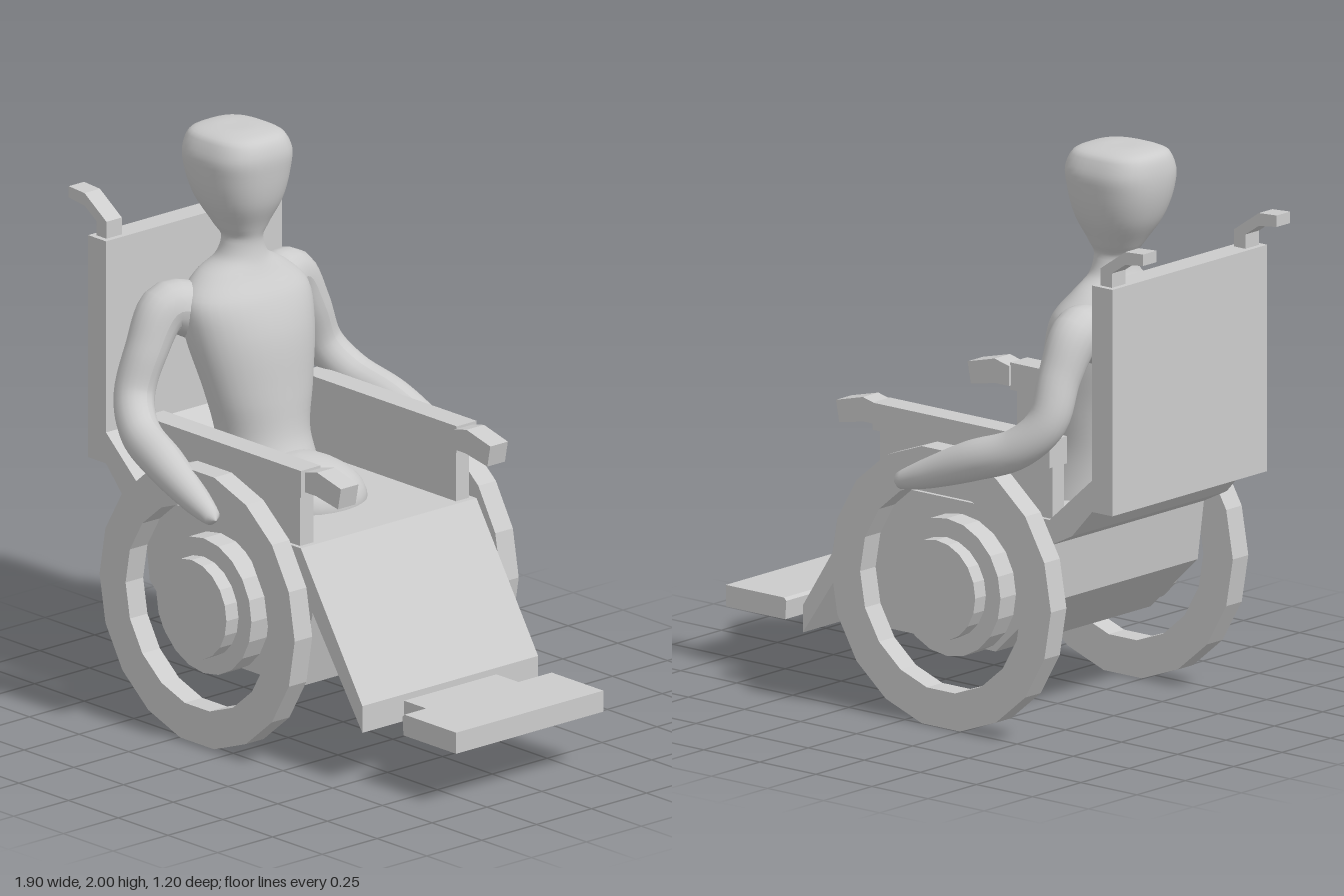
import * as THREE from 'three';

const MID = 0.01; // z of the plane of symmetry
const flat = new THREE.MeshStandardMaterial({ color: 0xcccccc, flatShading: true });
const smooth = new THREE.MeshStandardMaterial({ color: 0xcccccc });

function add(group, name, geometry, material = flat) {
  const mesh = new THREE.Mesh(geometry, material);
  mesh.name = name;
  group.add(mesh);
  return mesh;
}

// Side profile in x/y, extruded from z0 to z1
function slab(points, z0, z1, holes = []) {
  const shape = new THREE.Shape(points.map(([x, y]) => new THREE.Vector2(x, y)));
  for (const h of holes) shape.holes.push(new THREE.Path(h.map(([x, y]) => new THREE.Vector2(x, y))));
  return new THREE.ExtrudeGeometry(shape, { depth: z1 - z0, bevelEnabled: false }).translate(0, 0, z0);
}

const rect = (x0, x1, y0, y1) => [[x0, y0], [x1, y0], [x1, y1], [x0, y1]];

function ring(r, n, cx, cy) {
  return Array.from({ length: n }, (_, i) => {
    const a = (i / n) * Math.PI * 2;
    return [cx + r * Math.cos(a), cy + r * Math.sin(a)];
  });
}

// Stack of rounded-square rings: [y, centre x, x radius, z radius, squareness]
function bodyLoft(sections, steps = 72, sides = 36) {
  const a = new THREE.CatmullRomCurve3(sections.map(s => new THREE.Vector3(s[0], s[1], s[2])));
  const b = new THREE.CatmullRomCurve3(sections.map(s => new THREE.Vector3(s[0], s[3], s[4])));
  const pos = [], index = [];
  for (let i = 0; i <= steps; i++) {
    const p = a.getPoint(i / steps), q = b.getPoint(i / steps);
    for (let j = 0; j < sides; j++) {
      const t = (j / sides) * Math.PI * 2, c = Math.cos(t), s = Math.sin(t);
      const k = Math.pow(Math.abs(c) ** q.z + Math.abs(s) ** q.z, -1 / q.z);
      pos.push(p.y + c * k * Math.max(p.z, 0), p.x, s * k * Math.max(q.y, 0));
      if (i < steps) {
        const m = i * sides + j, n = i * sides + (j + 1) % sides;
        index.push(m, m + sides, n, n, m + sides, n + sides);
      }
    }
  }
  const g = new THREE.BufferGeometry();
  g.setAttribute('position', new THREE.Float32BufferAttribute(pos, 3));
  g.setIndex(index);
  g.computeVertexNormals();
  return g;
}

// Tube whose radius varies along its path: [x, y, z, radius]
function limb(points, steps = 48, sides = 20) {
  const path = new THREE.CatmullRomCurve3(points.map(p => new THREE.Vector3(p[0], p[1], p[2])));
  const radii = new THREE.SplineCurve(points.map((p, i) => new THREE.Vector2(i, p[3])));
  const g = new THREE.TubeGeometry(path, steps, 1, sides);
  const pos = g.attributes.position, v = new THREE.Vector3();
  for (let i = 0; i <= steps; i++) {
    const c = path.getPointAt(i / steps);
    const r = Math.max(0, radii.getPoint(path.getUtoTmapping(i / steps)).y);
    for (let j = 0; j <= sides; j++) {
      const k = i * (sides + 1) + j;
      v.fromBufferAttribute(pos, k).sub(c).multiplyScalar(r).add(c);
      pos.setXYZ(k, v.x, v.y, v.z);
    }
  }
  g.computeVertexNormals();
  return g;
}

function buildChair() {
  const chair = new THREE.Group();
  chair.name = 'wheelchair';
  const W = 0.4; // half width of the seat

  add(chair, 'seatBase', slab([[-0.56, 0.77], [-0.52, 0.47], [-0.31, 0.27], [0.22, 0.27], [0.3, 0.55], [0.24, 0.77]], -W, W));
  add(chair, 'legPanel', slab([[0.24, 0.77], [0.2, 0.7], [0.55, 0.19], [0.55, 0.285]], -W, W));
  add(chair, 'backrest', slab(rect(-0.83, -0.74, 0.83, 1.62), -W, W));
  add(chair, 'backSupport', slab([[-0.83, 0.83], [-0.74, 0.83], [-0.65, 0.73], [-0.55, 0.68], [-0.55, 0.77], [-0.74, 0.94], [-0.83, 0.94]], -W, W));
  add(chair, 'footrestConnector', slab(rect(0.53, 0.7, 0.21, 0.262), -0.21, 0.21));
  add(chair, 'footrest', slab([[0.685, 0.2], [0.95, 0.2], [0.95, 0.275], [0.69, 0.275], [0.68, 0.265]], -0.335, 0.335));

  // Parts repeated on both sides, given as distances from the middle
  const sides = [
    ['armPanel', rect(-0.55, 0.22, 0.75, 0.96), 0.325, 0.385],
    ['armrest', rect(-0.55, 0.24, 0.95, 1.045), 0.31, 0.4],
    ['armrestGrip', [[0.235, 0.965], [0.295, 0.965], [0.405, 0.945], [0.42, 1.02], [0.3, 1.05], [0.235, 1.035]], 0.3, 0.38],
    ['pushHandle', [[-0.81, 1.6], [-0.76, 1.6], [-0.76, 1.68], [-0.87, 1.755], [-0.95, 1.76], [-0.95, 1.72], [-0.87, 1.71], [-0.81, 1.67]], 0.31, 0.38],
    ['wheelHub', ring(0.24, 20, -0.16, 0.485), 0.38, 0.48],
    ['hubCap', ring(0.175, 20, -0.16, 0.485), 0.46, 0.535],
  ];
  for (const side of [1, -1]) {
    const span = (a, b) => side > 0 ? [a, b] : [-b, -a];
    for (const [name, profile, a, b] of sides) add(chair, name, slab(profile, ...span(a, b)));
    add(chair, 'wheel', slab(ring(0.491, 18, -0.16, 0.485), ...span(0.43, 0.51), [ring(0.36, 18, -0.16, 0.485)]));
  }
  return chair;
}

function buildPerson() {
  const person = new THREE.Group();
  person.name = 'seatedPerson';

  add(person, 'torsoAndHead', bodyLoft([
    [0.74, -0.36, 0.18, 0.18, 2], [0.85, -0.37, 0.17, 0.17, 2], [0.95, -0.395, 0.15, 0.17, 2],
    [1.1, -0.415, 0.15, 0.205, 2.1], [1.3, -0.46, 0.17, 0.25, 2.1], [1.42, -0.485, 0.15, 0.255, 2.1],
    [1.5, -0.505, 0.115, 0.18, 2], [1.55, -0.5, 0.085, 0.095, 2], [1.61, -0.497, 0.073, 0.07, 2],
    [1.66, -0.505, 0.095, 0.09, 2.2], [1.75, -0.515, 0.145, 0.135, 2.5], [1.85, -0.522, 0.17, 0.158, 2.8],
    [1.93, -0.522, 0.172, 0.158, 3], [1.98, -0.525, 0.15, 0.135, 3], [1.998, -0.53, 0.09, 0.08, 2.6],
    [2.0, -0.53, 0, 0, 2],
  ]), smooth);

  // Lap: egg shape widening to the front
  const lap = new THREE.SphereGeometry(1, 32, 20);
  const p = lap.attributes.position;
  for (let i = 0; i < p.count; i++) {
    const x = p.getX(i);
    p.setXYZ(i, -0.2 + 0.24 * x, 0.77 + 0.145 * p.getY(i), 0.015 + p.getZ(i) * (0.2 + 0.045 * x));
  }
  lap.computeVertexNormals();
  add(person, 'lap', lap, smooth);

  for (const s of [1, -1]) {
    add(person, s > 0 ? 'leftArm' : 'rightArm', limb([
      [-0.54, 1.36, 0.14 * s, 0.1], [-0.57, 1.4, 0.28 * s, 0.088], [-0.57, 1.27, 0.37 * s, 0.074],
      [-0.565, 1.12, 0.43 * s, 0.07], [-0.48, 1.025, 0.48 * s, 0.07], [-0.31, 0.96, 0.52 * s, 0.07],
      [-0.12, 0.885, 0.55 * s, 0.05], [-0.02, 0.85, 0.565 * s, 0.028], [0, 0.845, 0.568 * s, 0],
    ]), smooth);
  }
  return person;
}

export function createModel() {
  const model = new THREE.Group();
  model.name = 'personInWheelchair';
  const parts = new THREE.Group();
  parts.name = 'parts';
  parts.position.z = MID;
  parts.add(buildChair(), buildPerson());
  model.add(parts);
  return model;
}
